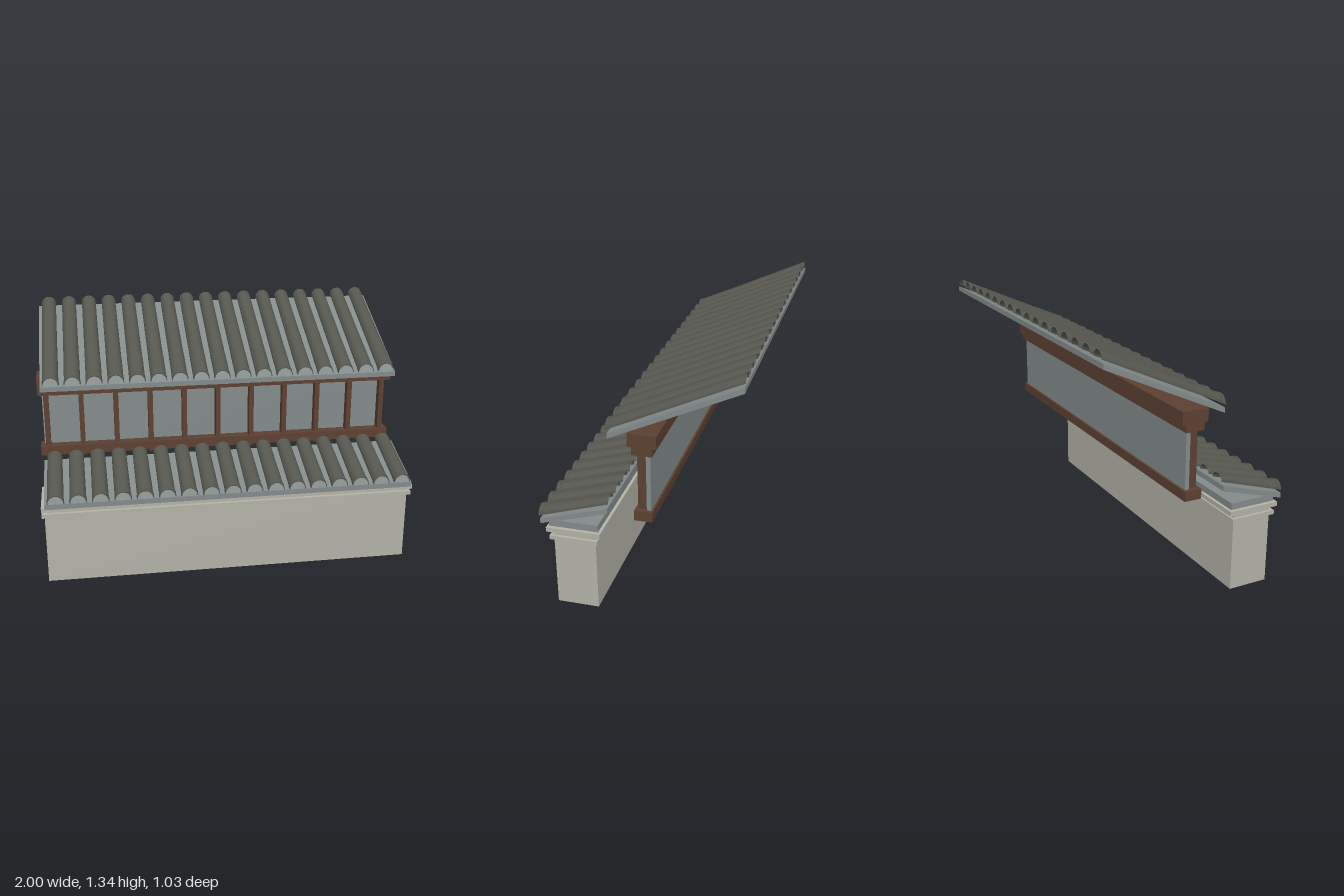
import * as THREE from 'three';
import { toCreasedNormals } from 'three/addons/utils/BufferGeometryUtils.js';

const mat = (name, color, side = THREE.FrontSide) => {
  const m = new THREE.MeshStandardMaterial({ color, side });
  m.name = name;
  return m;
};

// Box given by its limits in x (half width), y and z
function slab(name, material, halfX, y0, y1, z0, z1, x = 0) {
  const mesh = new THREE.Mesh(new THREE.BoxGeometry(halfX * 2, y1 - y0, z1 - z0), material);
  mesh.position.set(x, (y0 + y1) / 2, (z0 + z1) / 2);
  mesh.name = name;
  return mesh;
}

// Sloping board with upright ends: a box sheared along z
function slopedBoard(name, material, halfX, zFront, yFront, zBack, yBack, thick) {
  const g = new THREE.BoxGeometry(halfX * 2, thick, zFront - zBack);
  const p = g.attributes.position;
  const slope = (yBack - yFront) / (zFront - zBack);
  for (let i = 0; i < p.count; i++) p.setY(i, p.getY(i) - slope * p.getZ(i));
  g.computeVertexNormals();
  const mesh = new THREE.Mesh(g, material);
  mesh.position.set(0, (yFront + yBack + thick) / 2, (zFront + zBack) / 2);
  mesh.name = name;
  return mesh;
}

// Hollow half-round tile; sections run back to front as [z, base y, half width, height]
function tileGeometry(sections) {
  const cols = 14;
  const g = new THREE.PlaneGeometry(1, 1, cols, sections.length - 1);
  const p = g.attributes.position;
  sections.forEach(([z, y, w, h], row) => {
    for (let c = 0; c <= cols; c++) {
      const a = Math.PI * (1 - c / cols);
      p.setXYZ(row * (cols + 1) + c, w * Math.cos(a), y + h * Math.sin(a), z);
    }
  });
  return toCreasedNormals(g, 0.6);
}

function tileRow(name, material, sections) {
  const row = new THREE.Group();
  row.name = name;
  const g = tileGeometry(sections);
  for (let i = 0; i < 17; i++) {
    const tile = new THREE.Mesh(g, material);
    tile.name = 'roofTile';
    tile.position.x = (i - 8) * 0.1153;
    row.add(tile);
  }
  return row;
}

export function createModel() {
  const stone = mat('stone', 0xb3b2a8);
  const grey = mat('greyPlaster', 0x838b8a);
  const wood = mat('brownWood', 0x5c4032);
  const clay = mat('darkTile', 0x55564e, THREE.DoubleSide);
  const model = new THREE.Group();
  model.name = 'tiledWall';

  // Stone wall with two mouldings and a grey bed for the lower roof
  model.add(
    slab('wall', stone, 0.985, 0, 0.43, 0.212, 0.43),
    slab('lowerMoulding', stone, 1, 0.378, 0.4, 0.2, 0.45),
    slab('upperMoulding', stone, 1, 0.42, 0.444, 0.184, 0.466),
    slab('roofBed', grey, 0.98, 0.444, 0.48, 0.2, 0.456)
  );

  // Lower roof
  model.add(
    slopedBoard('lowerRoofBoard', grey, 0.98, 0.502, 0.45, 0.147, 0.557, 0.028),
    tileRow('lowerTiles', clay, [
      [0.147, 0.6, 0.04, 0.034],
      [0.492, 0.492, 0.043, 0.043],
      [0.492, 0.492, 0.045, 0.046],
      [0.514, 0.485, 0.045, 0.046],
      [0.514, 0.485, 0.04, 0.041],
    ])
  );

  // Timber frame: head beams, sill and posts in front of a grey panel
  model.add(
    slab('topBeam', wood, 1, 0.947, 1.014, -0.112, 0.03),
    slab('headBeam', wood, 1, 0.906, 0.947, -0.09, 0.01),
    slab('sillBeam', wood, 1, 0.556, 0.607, -0.087, 0.005),
    slab('panel', grey, 0.98, 0.55, 0.91, -0.076, -0.054)
  );
  for (let i = -5; i <= 5; i++) {
    model.add(slab('post', wood, 0.0135, 0.542, 0.91, -0.056, -0.009, i * 0.1915));
  }

  // Upper roof
  model.add(
    slopedBoard('upperRoofBoard', grey, 0.98, 0.135, 0.966, -0.512, 1.264, 0.027),
    tileRow('upperTiles', clay, [
      [-0.512, 1.306, 0.04, 0.037],
      [-0.03, 1.0845, 0.042, 0.039],
      [-0.03, 1.0845, 0.043, 0.041],
      [0.125, 1.013, 0.043, 0.043],
      [0.125, 1.013, 0.045, 0.046],
      [0.147, 1.003, 0.045, 0.046],
      [0.147, 1.003, 0.04, 0.041],
    ])
  );
  return model;
}
